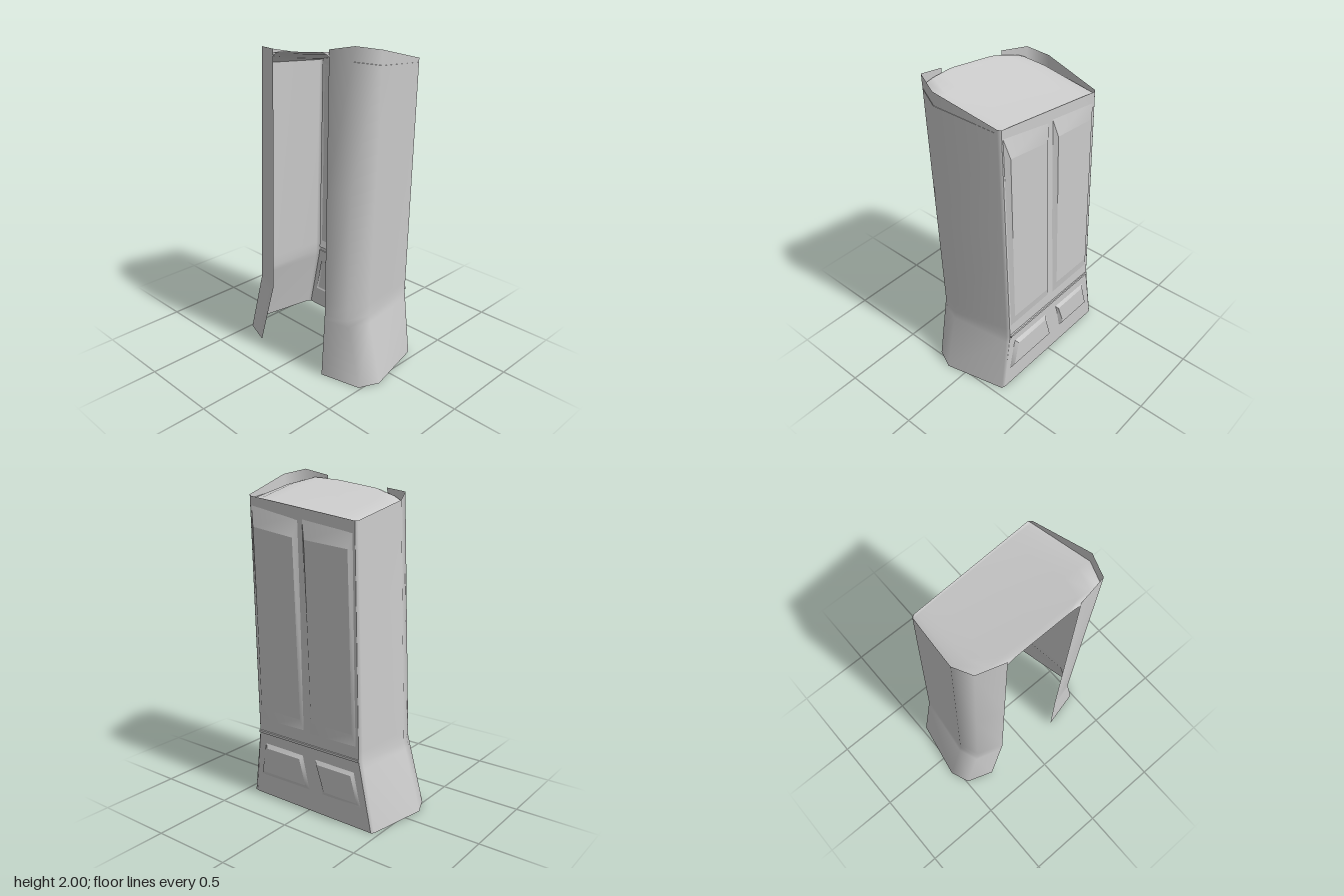
import * as THREE from 'three';

const material = new THREE.MeshStandardMaterial({ color: 0xcccccc, side: THREE.DoubleSide });
const lerp = THREE.MathUtils.lerp;

// Sloping plane of the top rim: highest at the open side and towards the front
const rimY = (x, z) => 1.87 - 0.25 * (x - 0.25) + 0.12 * (z - 0.45);

// Plan outlines [x, z] of the two bent walls at floor, waist and top
const frontPlan = [
  [[0.268, 0.43], [0.26, 0.45], [-0.12, 0.54], [-0.24, 0.485], [-0.3, 0.235]],
  [[0.275, 0.385], [0.26, 0.4], [-0.12, 0.45], [-0.25, 0.4], [-0.285, 0.25]],
  [[0.265, 0.425], [0.25, 0.44], [-0.12, 0.5], [-0.26, 0.44], [-0.28, 0.28]],
];
const backPlan = [
  [[0.272, -0.455], [0.26, -0.47], [-0.12, -0.54], [-0.24, -0.49], [-0.3, -0.32]],
  [[0.278, -0.37], [0.265, -0.39], [-0.11, -0.425], [-0.23, -0.38], [-0.28, -0.21]],
  [[0.275, -0.33], [0.265, -0.345], [-0.09, -0.38], [-0.21, -0.33], [-0.265, -0.17]],
];
const WAIST = 0.42;

// Smooth sheet from rows of [x, y, z] points
function sheet(name, rows, flip = false) {
  const n = rows[0].length;
  const index = [];
  for (let r = 0; r < rows.length - 1; r++) {
    for (let c = 0; c < n - 1; c++) {
      const a = r * n + c, b = a + 1, d = a + n, e = d + 1;
      if (flip) index.push(a, d, b, b, d, e);
      else index.push(a, b, d, b, e, d);
    }
  }
  const geometry = new THREE.BufferGeometry();
  geometry.setAttribute('position', new THREE.Float32BufferAttribute(rows.flat(2), 3));
  geometry.setIndex(index);
  geometry.computeVertexNormals();
  const mesh = new THREE.Mesh(geometry, material);
  mesh.name = name;
  return mesh;
}

// Height of a plan point at the top; the return edge dips a little
const topY = ([x, z], i) => rimY(x, z) - (i === 4 ? 0.02 : 0);

function wall(name, plan, flip) {
  const heights = [() => 0, () => WAIST, topY];
  const rows = plan.map((row, k) => row.map((p, i) => [p[0], heights[k](p, i), p[1]]));
  // Extra rows close to the waist keep the flare crisp
  const between = (a, b, t) => a.map((p, i) => p.map((v, j) => lerp(v, b[i][j], t)));
  return sheet(name, [
    rows[0], between(rows[0], rows[1], 0.9), rows[1],
    between(rows[1], rows[2], 0.05), between(rows[1], rows[2], 0.5), rows[2],
  ], flip);
}

// Flat side face strip between two levels of the plans
function sideFace(name, k) {
  const ends = (i) => [frontPlan[i][0], backPlan[i][0]].map(([x, z]) =>
    [x, [0, WAIST, rimY(x, z)][i], z]);
  return sheet(name, [ends(k), ends(k + 1)]);
}

// Raised panel with sloped edges; corners are [z, y] from top front, clockwise from +x
function raisedPanel(name, corners, baseX, faceX, insetZ, insetY) {
  const inner = corners.map(([z, y], i) => [
    z + (i === 0 || i === 3 ? -insetZ : insetZ),
    y + (i < 2 ? -insetY : insetY),
  ]);
  const ring = (pts, x) => [...pts, pts[0]].map(([z, y]) => [x, y, z]);
  const group = new THREE.Group();
  group.name = name;
  const f = inner.map(([z, y]) => [faceX, y, z]);
  group.add(
    sheet(name + 'Bevel', [ring(corners, baseX), ring(inner, faceX)]),
    sheet(name + 'Face', [[f[3], f[2]], [f[0], f[1]]]),
  );
  return group;
}

// Cushioned roof set just below the rim, turned down along front and back
function roof() {
  const stops = [0, 0.04, 0.1, 0.2, 0.5, 0.8, 0.9, 0.96, 1];
  const drops = [0.08, 0.055, 0.038, 0.03, 0.03, 0.03, 0.038, 0.055, 0.08];
  const strength = [0, 0.3, 1, 1, 0.5];
  return sheet('roof', stops.map((t, s) => frontPlan[2].map((p, i) => {
    const q = backPlan[2][i];
    const x = lerp(p[0], q[0], t), z = lerp(p[1], q[1], t);
    return [x, topY([x, z], i) - drops[s] * strength[i], z];
  })), true);
}

export function createModel() {
  const model = new THREE.Group();
  model.name = 'towerShell';

  // Bent front and back walls, with the side opposite the panels left open
  model.add(wall('frontWall', frontPlan, true), wall('backWall', backPlan, false));
  model.add(sideFace('lowerSide', 0), sideFace('upperSide', 1), roof());

  // Tall upper panels
  model.add(
    raisedPanel('tallFrontPanel', [[0.415, 1.81], [0.06, 1.77], [0.02, 0.46], [0.385, 0.46]], 0.265, 0.289, 0.03, 0.12),
    raisedPanel('tallBackPanel', [[0.035, 1.765], [-0.325, 1.74], [-0.36, 0.46], [-0.005, 0.46]], 0.268, 0.291, 0.03, 0.12),
  );

  // Slanted lower panels
  model.add(
    raisedPanel('lowFrontPanel', [[0.345, 0.36], [0.035, 0.36], [-0.01, 0.13], [0.385, 0.13]], 0.268, 0.29, 0.025, 0.035),
    raisedPanel('lowBackPanel', [[-0.045, 0.36], [-0.345, 0.36], [-0.39, 0.13], [-0.1, 0.13]], 0.268, 0.29, 0.025, 0.035),
  );

  // Thin ledge between upper and lower panels
  const ledge = new THREE.Mesh(new THREE.BoxGeometry(0.012, 0.015, 0.755), material);
  ledge.name = 'waistLedge';
  ledge.position.set(0.279, 0.425, 0.008);
  model.add(ledge);

  return model;
}
